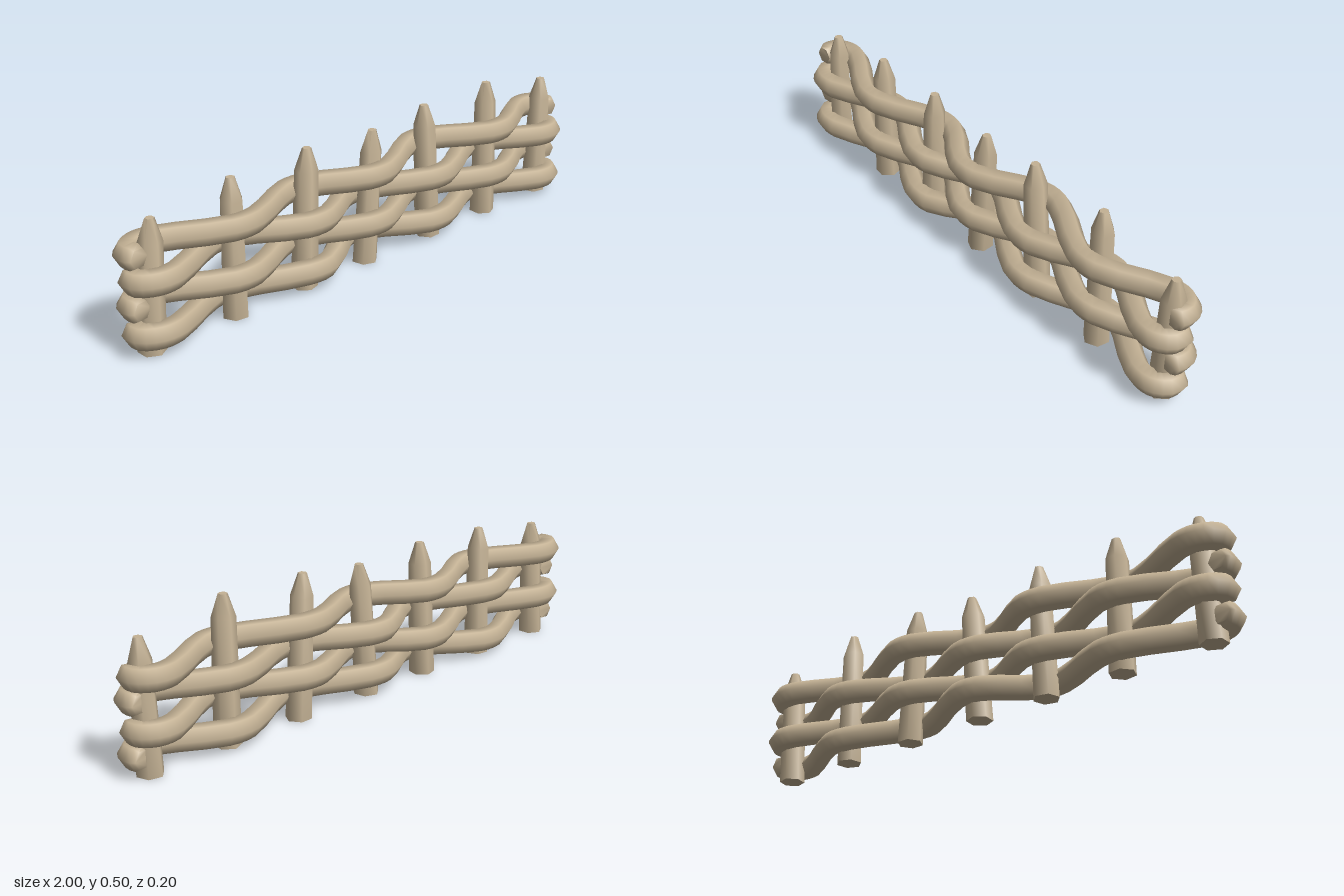
import * as THREE from 'three';
import { toCreasedNormals } from 'three/addons/utils/BufferGeometryUtils.js';

const CREASE = 1.15;

// Post list: bottom x, top x, height
const POSTS = [
  [-0.905, -0.885, 0.43], [-0.58, -0.58, 0.47], [-0.285, -0.265, 0.48], [-0.005, 0.03, 0.465],
  [0.31, 0.283, 0.49], [0.61, 0.61, 0.497], [0.91, 0.928, 0.44],
];

// Strand list: side of the first post (+1 front), centre height at each post
const STRANDS = [
  [1, [0.075, 0.065, 0.076, 0.088, 0.08, 0.07, 0.07]],
  [-1, [0.16, 0.155, 0.15, 0.158, 0.162, 0.163, 0.153]],
  [1, [0.25, 0.25, 0.243, 0.237, 0.24, 0.248, 0.245]],
  [-1, [0.33, 0.33, 0.325, 0.33, 0.337, 0.33, 0.325]],
];

// Sharpened six-sided stake, leaning from its bottom x to its top x
function postGeometry(x0, x1, h, turn) {
  const profile = [[0, 0], [0.045, 0], [0.039, h - 0.075], [0.015, h], [0, h]]
    .map(([r, y]) => new THREE.Vector2(r, y));
  const g = new THREE.LatheGeometry(profile, 6);
  g.rotateY(turn);
  const p = g.attributes.position;
  for (let i = 0; i < p.count; i++) p.setX(i, p.getX(i) + x0 + (x1 - x0) * p.getY(i) / h);
  return toCreasedNormals(g, CREASE);
}

// Hexagonal rod swept along a curve, slightly thinner at the cut ends
function rodGeometry(curve, steps, radius) {
  const sides = 6, pos = [], index = [];
  const up = new THREE.Vector3(0, 1, 0);
  for (let i = 0; i <= steps; i++) {
    const t = i / steps;
    const c = curve.getPoint(t), tan = curve.getTangent(t);
    const n = tan.clone().cross(up).normalize();
    const u = n.clone().cross(tan).normalize();
    const r = radius * (i === 0 || i === steps ? 0.78 : 1);
    for (let k = 0; k < sides; k++) {
      const a = k / sides * Math.PI * 2;
      const v = c.clone().addScaledVector(n, r * Math.cos(a)).addScaledVector(u, r * Math.sin(a));
      pos.push(v.x, v.y, v.z);
    }
  }
  for (let i = 0; i < steps; i++) {
    for (let k = 0; k < sides; k++) {
      const a = i * sides + k, b = i * sides + (k + 1) % sides;
      index.push(a, a + sides, b, b, a + sides, b + sides);
    }
  }
  // End caps
  const last = steps * sides;
  for (let k = 1; k < sides - 1; k++) {
    index.push(0, k, k + 1);
    index.push(last, last + k + 1, last + k);
  }
  const g = new THREE.BufferGeometry();
  g.setAttribute('position', new THREE.Float32BufferAttribute(pos, 3));
  g.setIndex(index);
  return toCreasedNormals(g, CREASE);
}

// Centre line weaving around the posts, hooked back around the outer ones
function strandCurve(side, heights) {
  const amp = 0.055;
  const xs = [-0.89, -0.58, -0.275, 0, 0.3, 0.61, 0.9];
  const pts = [];
  const hook = (dir, y) => [
    new THREE.Vector3(dir * 0.952, y, -side * 0.03),
    new THREE.Vector3(dir * 0.958, y, side * 0.022),
  ];
  pts.push(...hook(-1, heights[0]));
  xs.forEach((x, i) => {
    const z = amp * side * (i % 2 ? -1 : 1);
    const flat = 0.045;
    if (i > 0) pts.push(new THREE.Vector3(x - flat, heights[i], z * 0.96));
    else pts.push(new THREE.Vector3(x - 0.02, heights[i], z));
    if (i < 6) pts.push(new THREE.Vector3(x + flat, heights[i], z * 0.96));
    else pts.push(new THREE.Vector3(x + 0.02, heights[i], z));
  });
  pts.push(...hook(1, heights[6]).reverse());
  return new THREE.CatmullRomCurve3(pts, false, 'centripetal');
}

export function createModel() {
  const group = new THREE.Group();
  group.name = 'wovenFence';
  const wood = new THREE.MeshStandardMaterial({ color: 0xc4b295 });
  wood.name = 'paleWood';

  const add = (name, geometry) => {
    const mesh = new THREE.Mesh(geometry, wood);
    mesh.name = name;
    group.add(mesh);
  };

  POSTS.forEach(([x0, x1, h], i) => add(`post${i + 1}`, postGeometry(x0, x1, h, i * 0.4)));
  STRANDS.forEach(([side, ys], i) =>
    add(`wovenBranch${i + 1}`, rodGeometry(strandCurve(side, ys), 51, 0.042)));

  return group;
}
